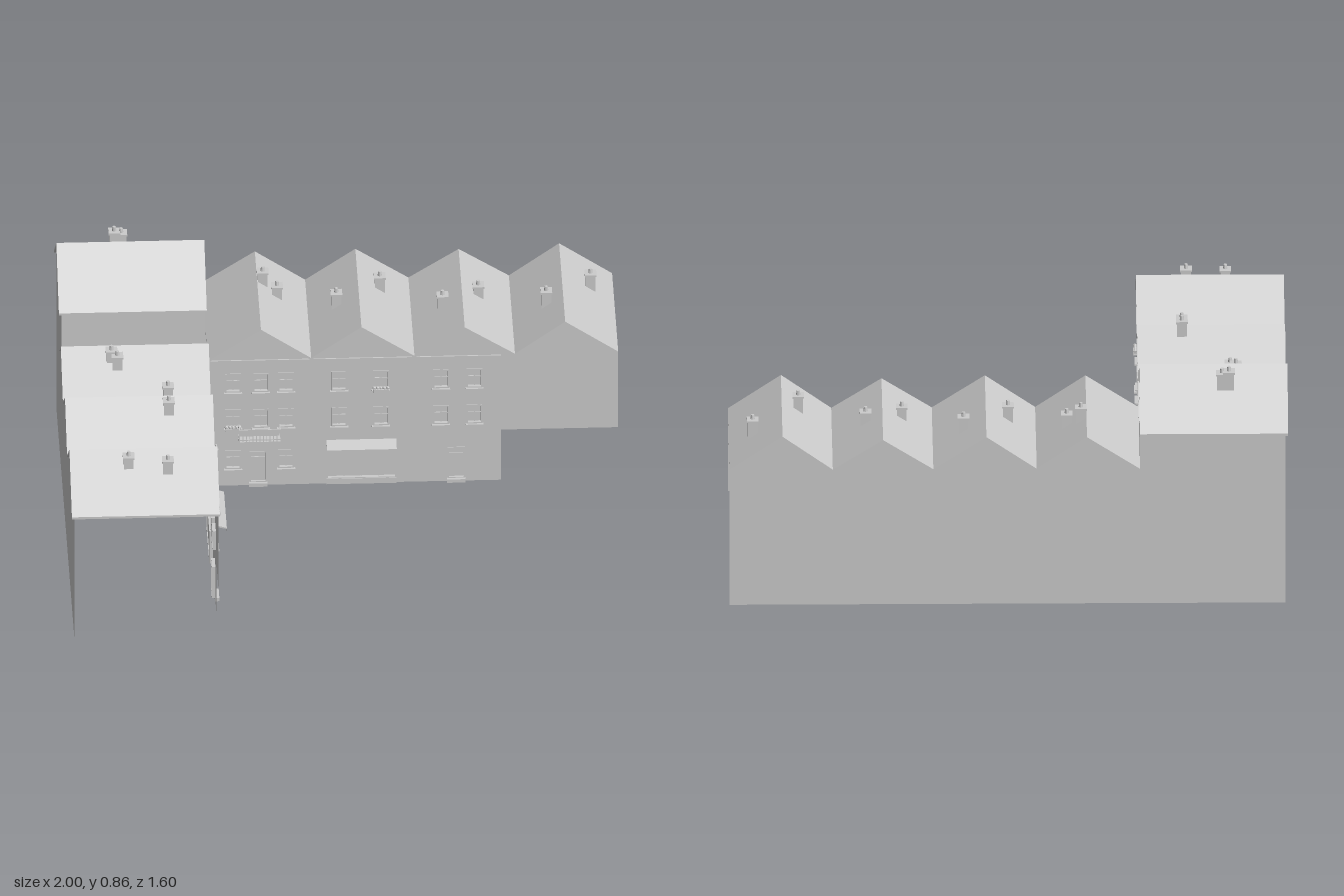
import * as THREE from 'three';

const mat = new THREE.MeshStandardMaterial({ color: 0xcccccc, side: THREE.DoubleSide, flatShading: true });

// Roof lines: valley, ridge, valley ... as [distance along wing, height]
const backLine = [[-0.47, 0.52], [-0.28, 0.645], [-0.1, 0.522], [0.08, 0.647], [0.27, 0.522], [0.45, 0.637], [0.63, 0.522], [0.81, 0.652], [1, 0.522]];
const sideLine = [[-0.8, 0.515], [-0.58, 0.665], [-0.37, 0.515], [-0.19, 0.645], [0, 0.515], [0.18, 0.635], [0.36, 0.515]];
const towerLine = [[0.35, 0.67], [0.57, 0.832], [0.8, 0.66]];

function add(parent, name, geo, x = 0, y = 0, z = 0) {
  const m = new THREE.Mesh(geo, mat);
  m.name = name;
  m.position.set(x, y, z);
  parent.add(m);
  return m;
}
const box = (parent, name, w, h, d, x, y, z) => add(parent, name, new THREE.BoxGeometry(w, h, d), x, y, z);
const polygon = (pts) => new THREE.Shape(pts.map((p) => new THREE.Vector2(...p)));
const rect = (x, y, w, h) => [[x - w / 2, y], [x + w / 2, y], [x + w / 2, y + h], [x - w / 2, y + h]];
const wall = (parent, name, pts, z = 0) => add(parent, name, new THREE.ShapeGeometry(polygon(pts)), 0, 0, z);

// Thin folded slab following a roof line, extruded from z0 to z1
function roof(parent, name, line, z0, z1) {
  const t = 0.009;
  const pts = [...line, ...line.map(([u, y]) => [u, y + t]).reverse()];
  add(parent, name, new THREE.ExtrudeGeometry(polygon(pts), { depth: z1 - z0, bevelEnabled: false }), 0, 0, z0);
}

// Frame ring around an opening, with a recessed pane and glazing bars
function framed(parent, name, x, y, w, h, bars = 1) {
  const g = new THREE.Group();
  g.name = name;
  const b = 0.005;
  const ring = polygon(rect(0, 0, w, h));
  ring.holes.push(new THREE.Path(rect(0, b, w - 2 * b, h - 2 * b).map((p) => new THREE.Vector2(...p))));
  add(g, 'frame', new THREE.ExtrudeGeometry(ring, { depth: 0.016, bevelEnabled: false }), 0, 0, -0.013);
  add(g, 'pane', new THREE.PlaneGeometry(w - b, h - b), 0, h / 2, -0.01);
  for (let i = 1; i <= bars; i++) box(g, 'glazingBar', 0.003, h, 0.004, -w / 2 + (i * w) / (bars + 1), h / 2, -0.008);
  g.position.set(x, y, 0);
  parent.add(g);
  return g;
}

function windowUnit(parent, x, y, h = 0.078) {
  const g = framed(parent, 'window', x, y, 0.056, h);
  box(g, 'crossBar', 0.05, 0.003, 0.004, 0, h * 0.55, -0.008);
  box(g, 'sill', 0.066, 0.005, 0.012, 0, -0.002, 0.006);
}

function door(parent, x) {
  const g = framed(parent, 'door', x, 0.012, 0.062, 0.13, 0);
  box(g, 'doorLeaf', 0.05, 0.1, 0.004, 0, 0.052, -0.008);
  box(g, 'doorStep', 0.066, 0.014, 0.016, 0, -0.005, 0.006);
}

function flowerBox(parent, x, y) {
  const g = new THREE.Group();
  g.name = 'flowerBox';
  box(g, 'planter', 0.056, 0.014, 0.014, 0, 0, 0.009);
  for (let i = -2; i <= 2; i++) add(g, 'plant', new THREE.IcosahedronGeometry(0.007, 0), i * 0.012, 0.011, 0.009);
  g.position.set(x, y, 0);
  parent.add(g);
}

// Shop window with a sloping, scalloped awning
function shop(parent, x) {
  const g = new THREE.Group();
  g.name = 'shopFront';
  const w = 0.25;
  framed(g, 'shopWindow', 0, 0.02, w, 0.135, 3);
  box(g, 'stallRiser', w, 0.022, 0.012, 0, 0.011, 0);
  const awning = polygon([[0, 0.175], [0.05, 0.163], [0.05, 0.168], [0, 0.182]]);
  const geo = new THREE.ExtrudeGeometry(awning, { depth: w, bevelEnabled: false });
  geo.rotateY(-Math.PI / 2);
  add(g, 'awning', geo, w / 2, 0, 0);
  const n = 16;
  for (let i = 0; i < n; i++) {
    const s = w / n;
    wall(g, 'valance', [[0, 0.167], [0, 0.154], [s / 2, 0.149], [s, 0.154], [s, 0.167]], 0.05).position.x = -w / 2 + i * s;
  }
  g.position.x = x;
  parent.add(g);
}

function balcony(parent, x, y) {
  const g = new THREE.Group();
  g.name = 'balcony';
  const w = 0.15, d = 0.04;
  box(g, 'balconyFloor', w, 0.008, d, 0, 0, d / 2);
  for (const h of [0.012, 0.052]) {
    box(g, 'rail', w, 0.004, 0.004, 0, h, d - 0.002);
    for (const s of [-1, 1]) box(g, 'sideRail', 0.004, 0.004, d, s * (w / 2 - 0.002), h, d / 2);
  }
  for (let i = 0; i <= 12; i++) box(g, 'baluster', 0.003, 0.05, 0.003, -w / 2 + 0.002 + (i * (w - 0.004)) / 12, 0.027, d - 0.002);
  for (const s of [-1, 1]) box(g, 'bracket', 0.008, 0.018, 0.025, s * 0.06, -0.012, 0.0125);
  g.position.set(x, y, 0);
  parent.add(g);
}

// Facade: outline with openings [x, y, w, h] cut out
function facade(name, outline, openings) {
  const g = new THREE.Group();
  g.name = name;
  const s = polygon(outline);
  openings.forEach((o) => s.holes.push(new THREE.Path(rect(...o).map((p) => new THREE.Vector2(...p)))));
  add(g, 'facadeWall', new THREE.ShapeGeometry(s));
  return g;
}

// Fit windows, doors and a shop into a new facade
function fittedFacade(name, outline, windows, doors, shopX) {
  const g = facade(name, outline, [
    ...windows.map(([x, y]) => [x, y, 0.056, 0.078]),
    ...doors.map((x) => [x, 0.012, 0.062, 0.13]),
    [shopX, 0.02, 0.25, 0.135],
  ]);
  windows.forEach(([x, y]) => windowUnit(g, x, y));
  doors.forEach((x) => door(g, x));
  shop(g, shopX);
  return g;
}

function chimney(parent, x, z, top, w = 0.035) {
  const g = new THREE.Group();
  g.name = 'chimney';
  box(g, 'stack', w, 0.08, w, 0, -0.06, 0);
  box(g, 'cap', w + 0.007, 0.007, w + 0.007, 0, -0.02, 0);
  add(g, 'pot', new THREE.CylinderGeometry(0.006, 0.008, 0.018, 8), 0, -0.009, 0);
  g.position.set(x, top, z);
  parent.add(g);
}

export function createModel() {
  const model = new THREE.Group();
  model.name = 'terraceOfHouses';
  const storeys = (xs) => xs.flatMap((x) => [[x, 0.24], [x, 0.39]]);

  // Back wing, facing forward
  const front = fittedFacade('backWingFacade',
    [[-0.47, 0], [0.58, 0], [0.58, 0.21], [1, 0.21], ...[...backLine].reverse()],
    [...storeys([-0.38, -0.28, -0.19, 0, 0.15, 0.365, 0.485]), [-0.38, 0.07], [-0.19, 0.07]],
    [-0.29, 0.42], 0.08);
  balcony(front, -0.285, 0.2);
  flowerBox(front, -0.38, 0.238);
  flowerBox(front, 0.15, 0.39);
  box(front, 'stringCourse', 1.05, 0.005, 0.006, 0.055, 0.522, 0.002);
  box(front, 'lanternArm', 0.004, 0.004, 0.03, -0.44, 0.172, 0.015);
  add(front, 'lantern', new THREE.CylinderGeometry(0.009, 0.006, 0.022, 6), -0.44, 0.158, 0.028);
  front.position.z = -0.257;
  model.add(front);
  roof(model, 'backWingRoof', backLine, -0.79, -0.25);
  wall(model, 'backWall', [[-0.99, 0], [1, 0], ...[...backLine].reverse(), [-0.47, 0.67], [-0.99, 0.67]], -0.785);

  // Side wing, turned so its facade looks along +x
  const side = new THREE.Group();
  side.name = 'sideWing';
  const sideFront = fittedFacade('sideWingFacade',
    [[-0.8, 0.21], [-0.64, 0.21], [-0.64, 0], [0.257, 0], [0.257, 0.515], ...[...sideLine].reverse()],
    storeys([-0.55, -0.46, -0.24, -0.12, 0.075, 0.165]), [-0.505, 0.12], -0.185);
  flowerBox(sideFront, -0.55, 0.39);
  flowerBox(sideFront, 0.165, 0.39);
  box(sideFront, 'stringCourse', 0.89, 0.005, 0.006, -0.195, 0.522, 0.002);
  sideFront.position.z = -0.475;
  side.add(sideFront);
  roof(side, 'sideWingRoof', sideLine, -1, -0.47);
  wall(side, 'sideOuterWall', [[-0.8, 0], [0.785, 0], [0.785, 0.67], [0.57, 0.832], [0.36, 0.67], ...[...sideLine].reverse()], -0.99);

  // Raised corner house
  wall(side, 'cornerGable', [[0.36, 0.515], [0.785, 0.515], [0.785, 0.67], [0.57, 0.832], [0.36, 0.67]], -0.475);
  roof(side, 'cornerRoof', towerLine, -1, -0.47);
  side.rotation.y = Math.PI / 2;
  model.add(side);
  wall(model, 'cornerFrontWall', [[-0.99, 0.515], [-0.475, 0.515], [-0.475, 0.67], [-0.99, 0.67]], -0.36);

  // Chimneys: x, z, top
  [[-0.79, -0.64, 0.862], [-0.765, -0.64, 0.855], [-0.82, -0.14, 0.668], [-0.8, -0.115, 0.66],
    [-0.63, 0.165, 0.7], [-0.63, 0.235, 0.68], [-0.79, 0.63, 0.692], [-0.65, 0.65, 0.685],
    [-0.26, -0.6, 0.705], [-0.21, -0.565, 0.665], [0, -0.5, 0.67], [0.16, -0.605, 0.672],
    [0.38, -0.485, 0.66], [0.51, -0.54, 0.665], [0.75, -0.45, 0.69], [0.915, -0.605, 0.665],
  ].forEach(([x, z, top]) => chimney(model, x, z, top));
  return model;
}
